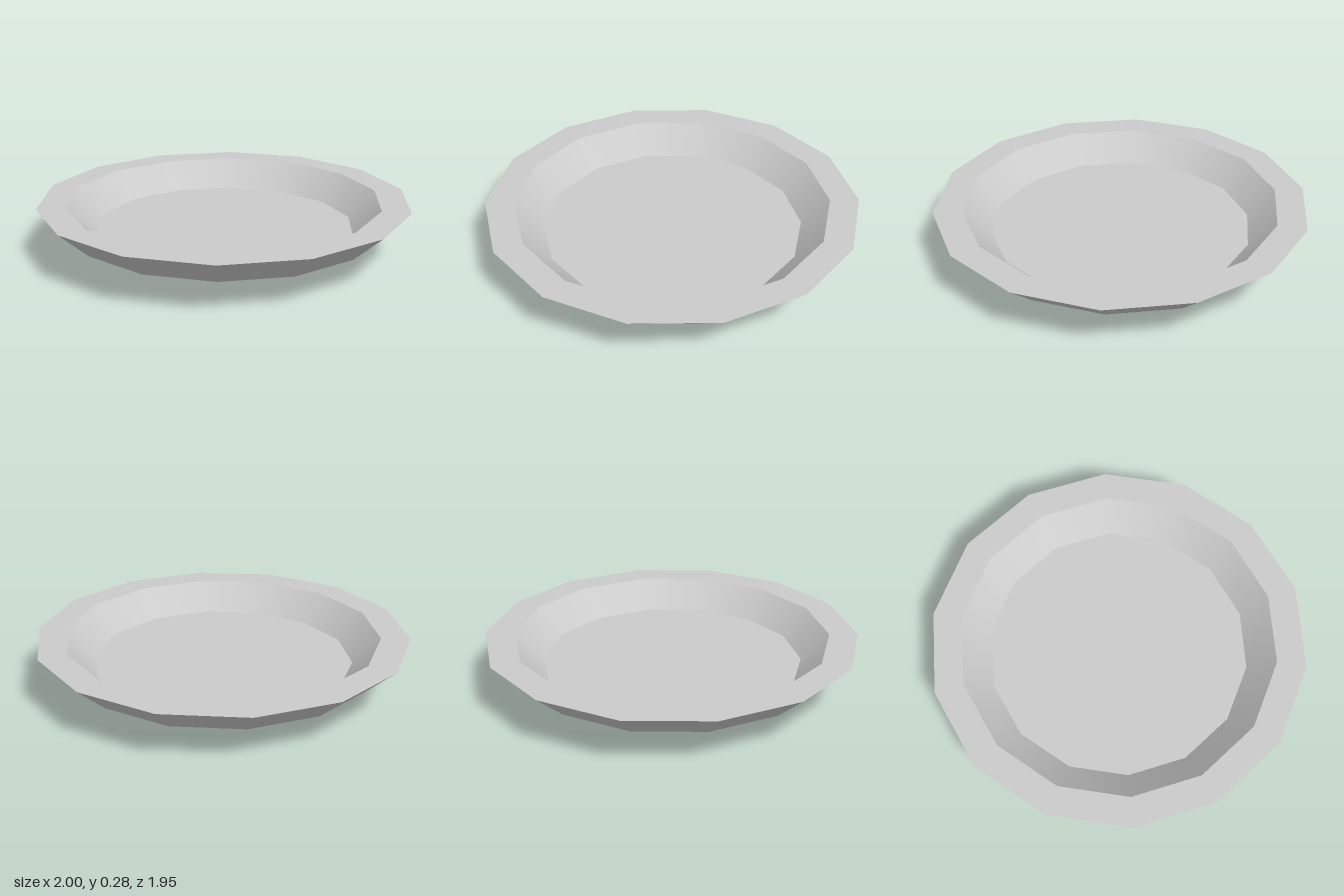
import * as THREE from 'three';

const SIDES = 14;

// Points are [radius, height], running from the bottom centre round to the floor centre.
const profile = [
  ['footBase', [0, 0], [0.475, 0]],
  ['footRing', [0.475, 0], [0.525, 0.07]],
  ['underside', [0.525, 0.07], [0.835, 0.13]],
  ['outerWall', [0.835, 0.13], [1, 0.275]],
  ['rim', [1, 0.275], [0.845, 0.275]],
  ['innerWall', [0.845, 0.275], [0.7, 0.13]],
  ['plateFloor', [0.7, 0.13], [0, 0.13]],
];

export function createModel() {
  const plate = new THREE.Group();
  plate.name = 'plate';
  const material = new THREE.MeshStandardMaterial({ color: 0xcccccc });

  // Each band is its own lathe: smooth around, sharp between bands.
  for (const [name, from, to] of profile) {
    const points = [new THREE.Vector2(...from), new THREE.Vector2(...to)];
    // Quarter-turn start puts a corner on the x axis
    const geometry = new THREE.LatheGeometry(points, SIDES, Math.PI / 2);
    const band = new THREE.Mesh(geometry, material);
    band.name = name;
    plate.add(band);
  }
  return plate;
}
